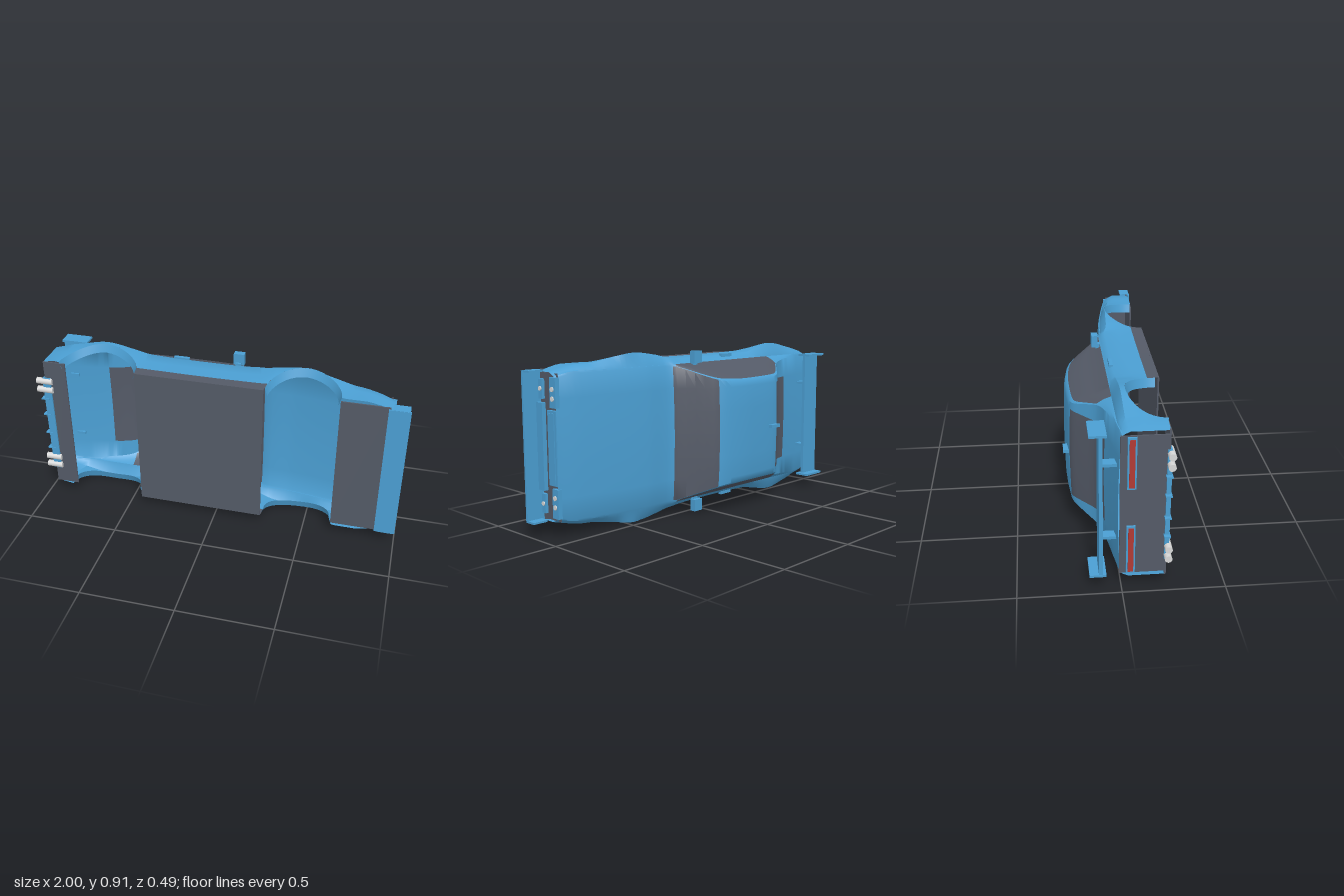
import * as THREE from 'three';
import { toCreasedNormals } from 'three/addons/utils/BufferGeometryUtils.js';

const mat = (name, color) => new THREE.MeshStandardMaterial({ name, color, side: THREE.DoubleSide });

// Smooth (Hermite) lookup through [x, value] pairs
function curve(pts) {
  const slope = i => {
    const a = pts[Math.max(0, i - 1)], b = pts[Math.min(pts.length - 1, i + 1)];
    return (b[1] - a[1]) / (b[0] - a[0]);
  };
  return x => {
    let i = 0;
    while (i < pts.length - 2 && x > pts[i + 1][0]) i++;
    const [x0, y0] = pts[i], [x1, y1] = pts[i + 1], d = x1 - x0;
    const t = Math.min(1, Math.max(0, (x - x0) / d)), t2 = t * t, t3 = t2 * t;
    return (2 * t3 - 3 * t2 + 1) * y0 + (t3 - 2 * t2 + t) * d * slope(i)
      + (3 * t2 - 2 * t3) * y1 + (t3 - t2) * d * slope(i + 1);
  };
}

// Centre-line height and greatest half width along the car
const topAt = curve([[-0.955, 0.02], [-0.85, 0.035], [-0.7, 0.06], [-0.62, 0.08], [-0.57, 0.105], [-0.5, 0.165],
  [-0.45, 0.205], [-0.4, 0.22], [-0.2, 0.23], [-0.1, 0.227], [0, 0.212], [0.05, 0.19], [0.1, 0.145], [0.15, 0.09],
  [0.2, 0.042], [0.25, 0.021], [0.4, 0.012], [0.6, -0.015], [0.8, -0.05], [0.915, -0.078]]);
const widthAt = curve([[-0.955, 0.39], [-0.8, 0.425], [-0.65, 0.4525], [-0.5, 0.428], [-0.4, 0.408], [0, 0.402],
  [0.2, 0.41], [0.3, 0.432], [0.45, 0.45], [0.6, 0.428], [0.7, 0.41], [0.78, 0.405], [0.915, 0.375]]);
const arches = [{ c: -0.645, r: 0.215 }, { c: 0.46, r: 0.195 }];

function bottomAt(x) {
  for (const { c, r } of arches) {
    const u = (x - c) / r;
    if (Math.abs(u) <= 1.0001) return -0.215 + 0.173 * Math.sqrt(Math.max(0, 1 - u * u));
  }
  return x > -0.43 && x < 0.265 ? -0.235 : x < 0 ? -0.21 : -0.22;
}

function halfWidth(x, h) {
  const W = widthAt(x), base = Math.min(0.403, W);
  const t = THREE.MathUtils.smoothstep(h, -0.22, -0.05);
  return base + (W - base) * t;
}

// Half section from lower edge to centre line, as [height, half width]
function halfSection(x) {
  const T = topAt(x), W = widthAt(x), bot = bottomAt(x);
  const beltH = Math.min(0.015, T - 0.02);
  const shoulder = Math.max(bot + 0.004, beltH - 0.033);
  const r1 = Math.min(shoulder - 0.002, Math.max(bot + 0.001, -0.175));
  const r2 = (r1 + shoulder) / 2;
  const beltW = Math.min(0.378, W - 0.018);
  const edgeH = T - 0.012;
  const edgeW = Math.min(beltW - 0.012, 0.372 - (edgeH - 0.015) * 0.46);
  const railH = beltH + (edgeH - beltH) * 0.93, railW = beltW + (edgeW - beltW) * 0.88;
  const lower = [bot, r1, r2, shoulder].map(h => [h, halfWidth(x, h)]);
  return [...lower,
    [beltH - 0.009, beltW + (W - beltW) * 0.4],
    [beltH, beltW], [(beltH + railH) / 2, (beltW + railW) / 2 + 0.005],
    [railH, railW], [edgeH, edgeW], [T - 0.006, 0.25], [T - 0.002, 0.13], [T, 0]];
}

function bodyShell(mats) {
  const xs = [-0.69, -0.57, -0.43, -0.425, 0.04, 0.22, 0.26];
  for (let i = 0; i <= 55; i++) xs.push(-0.955 + i * 1.87 / 55);
  for (const { c, r } of arches) for (let i = 0; i <= 24; i++) xs.push(c - r * Math.cos(Math.PI * i / 24));
  xs.sort((a, b) => a - b);
  const st = xs.filter((x, i) => i === 0 || x - xs[i - 1] > 0.0008);
  const pos = [], parts = [[], []], N = 23;
  for (const x of st) {
    const half = halfSection(x);
    half.forEach(([h, w]) => pos.push(x, h, w));
    half.slice(0, -1).reverse().forEach(([h, w]) => pos.push(x, h, -w));
  }
  for (let i = 0; i < st.length - 1; i++) for (let j = 0; j < N - 1; j++) {
    const m = (st[i] + st[i + 1]) / 2, row = Math.min(j, N - 2 - j);
    const sill = row === 0 && m > -0.46 && m < 0.29;
    const sideGlass = (row === 5 || row === 6) && m > -0.57 && m < 0.2;
    const rearGlass = row >= 9 && m > -0.69 && m < -0.43;
    const windscreen = row >= 8 && m > 0.04 && m < 0.22;
    const a = i * N + j, b = a + N;
    parts[sill || sideGlass || rearGlass || windscreen ? 1 : 0].push(a, b, a + 1, b, b + 1, a + 1);
  }
  const g = new THREE.BufferGeometry();
  g.setAttribute('position', new THREE.Float32BufferAttribute(pos, 3));
  g.setIndex([...parts[0], ...parts[1]]);
  g.addGroup(0, parts[0].length, 0);
  g.addGroup(parts[0].length, parts[1].length, 1);
  return new THREE.Mesh(toCreasedNormals(g, 0.7), mats);
}

// Inward-turned lip around one wheel opening
function archLip({ c, r }, side) {
  const pos = [], idx = [], n = 24;
  for (let i = 0; i <= n; i++) {
    const x = c - r * Math.cos(Math.PI * i / n), h = bottomAt(x), w = halfWidth(x, h);
    pos.push(x, h, side * w, c + (x - c) * 0.93, -0.215 + (h + 0.215) * 0.91, side * (w - 0.045));
    if (i < n) idx.push(2 * i, 2 * i + 2, 2 * i + 1, 2 * i + 1, 2 * i + 2, 2 * i + 3);
  }
  if (side < 0) idx.reverse();
  const g = new THREE.BufferGeometry();
  g.setAttribute('position', new THREE.Float32BufferAttribute(pos, 3));
  g.setIndex(idx);
  g.computeVertexNormals();
  return g;
}

export function createModel() {
  const paint = mat('blue paint', 0x4b9fd3), dark = mat('dark trim', 0x545a67);
  const metal = mat('pale metal', 0xd8d8d8), red = mat('red lamp', 0xb03a34);
  const car = new THREE.Group();
  car.name = 'car';

  const add = (name, geo, m) => {
    const mesh = new THREE.Mesh(geo, m);
    mesh.name = name;
    car.add(mesh);
    return mesh;
  };
  // Box given by its extents along length, height and width
  const box = (name, m, x0, x1, h0, h1, w0, w1) => add(name,
    new THREE.BoxGeometry(x1 - x0, h1 - h0, w1 - w0), m).position.set((x0 + x1) / 2, (h0 + h1) / 2, (w0 + w1) / 2);
  const pair = (name, m, x0, x1, h0, h1, w0, w1) => {
    box(name, m, x0, x1, h0, h1, w0, w1);
    box(name, m, x0, x1, h0, h1, -w1, -w0);
  };
  const rod = (name, m, x, h, w, r, len) => {
    const mesh = add(name, new THREE.CylinderGeometry(r, r, len, 16), m);
    mesh.rotation.z = Math.PI / 2;
    mesh.position.set(x, h, w);
  };

  const shell = bodyShell([paint, dark]);
  shell.name = 'bodyShell';
  car.add(shell);
  for (const a of arches) for (const s of [-1, 1]) add('archLip', archLip(a, s), paint);

  // Floor panels
  box('floor', dark, -0.43, 0.262, -0.237, -0.229, -0.402, 0.402);
  box('frontFloor', dark, 0.652, 0.9, -0.224, -0.216, -0.385, 0.385);
  box('rearFloor', dark, -0.955, -0.83, -0.214, -0.206, -0.392, 0.392);

  // Front end
  box('noseRecess', dark, 0.896, 0.902, -0.22, -0.085, -0.37, 0.37);
  box('grille', paint, 0.898, 0.918, -0.15, -0.083, -0.188, 0.188);
  box('grilleInset', paint, 0.918, 0.922, -0.137, -0.095, -0.175, 0.175);
  pair('headlightBox', paint, 0.898, 0.922, -0.122, -0.075, 0.202, 0.352);
  box('bumper', paint, 0.898, 0.925, -0.23, -0.183, -0.222, 0.222);
  pair('fogLightBox', paint, 0.898, 0.918, -0.217, -0.188, 0.24, 0.34);
  for (const s of [-1, 1]) {
    for (const w of [0.247, 0.294]) rod('headlight', metal, 0.923, -0.099, s * w, 0.0125, 0.008);
    rod('fogLight', metal, 0.92, -0.202, s * 0.291, 0.011, 0.008);
  }
  box('splitter', paint, 0.89, 1, -0.241, -0.23, -0.382, 0.382);
  pair('splitterEndPlate', paint, 0.912, 0.995, -0.24, -0.183, 0.374, 0.384);

  // Rear end
  box('rearPanel', dark, -0.957, -0.95, -0.21, 0.012, -0.37, 0.37);
  pair('rearLampFrame', paint, -0.968, -0.957, -0.062, -0.02, 0.1, 0.365);
  pair('rearLamp', red, -0.972, -0.968, -0.054, -0.028, 0.11, 0.355);
  box('diffuser', paint, -0.966, -0.922, -0.222, -0.2, -0.295, 0.295);
  for (const w of [-0.16, -0.058, 0.062, 0.163]) box('diffuserFin', paint, -0.985, -0.94, -0.226, -0.195, w - 0.004, w + 0.004);
  for (const s of [-1, 1]) for (const w of [0.222, 0.275]) rod('exhaustPipe', metal, -0.956, -0.217, s * w, 0.018, 0.088);

  // Rear wing
  box('wingBlade', paint, -0.965, -0.84, 0.09, 0.108, -0.375, 0.375);
  pair('wingEndPlate', paint, -0.968, -0.82, 0.072, 0.153, 0.37, 0.382);
  pair('wingPost', paint, -0.912, -0.862, 0.015, 0.095, 0.19, 0.205);

  // Mirrors, door handles and roof scoop
  pair('mirror', paint, 0.043, 0.1, 0.03, 0.064, 0.38, 0.445);
  pair('mirrorMount', paint, 0.055, 0.085, 0.018, 0.04, 0.365, 0.395);
  pair('doorHandle', paint, -0.275, -0.19, -0.022, -0.003, 0.39, 0.412);
  box('roofScoop', paint, -0.42, -0.348, 0.205, 0.246, -0.009, 0.009);

  // The car rests on its side, roof towards the back
  car.rotation.x = -Math.PI / 2;
  car.position.y = 0.4525;
  const model = new THREE.Group();
  model.name = 'model';
  model.add(car);
  return model;
}
